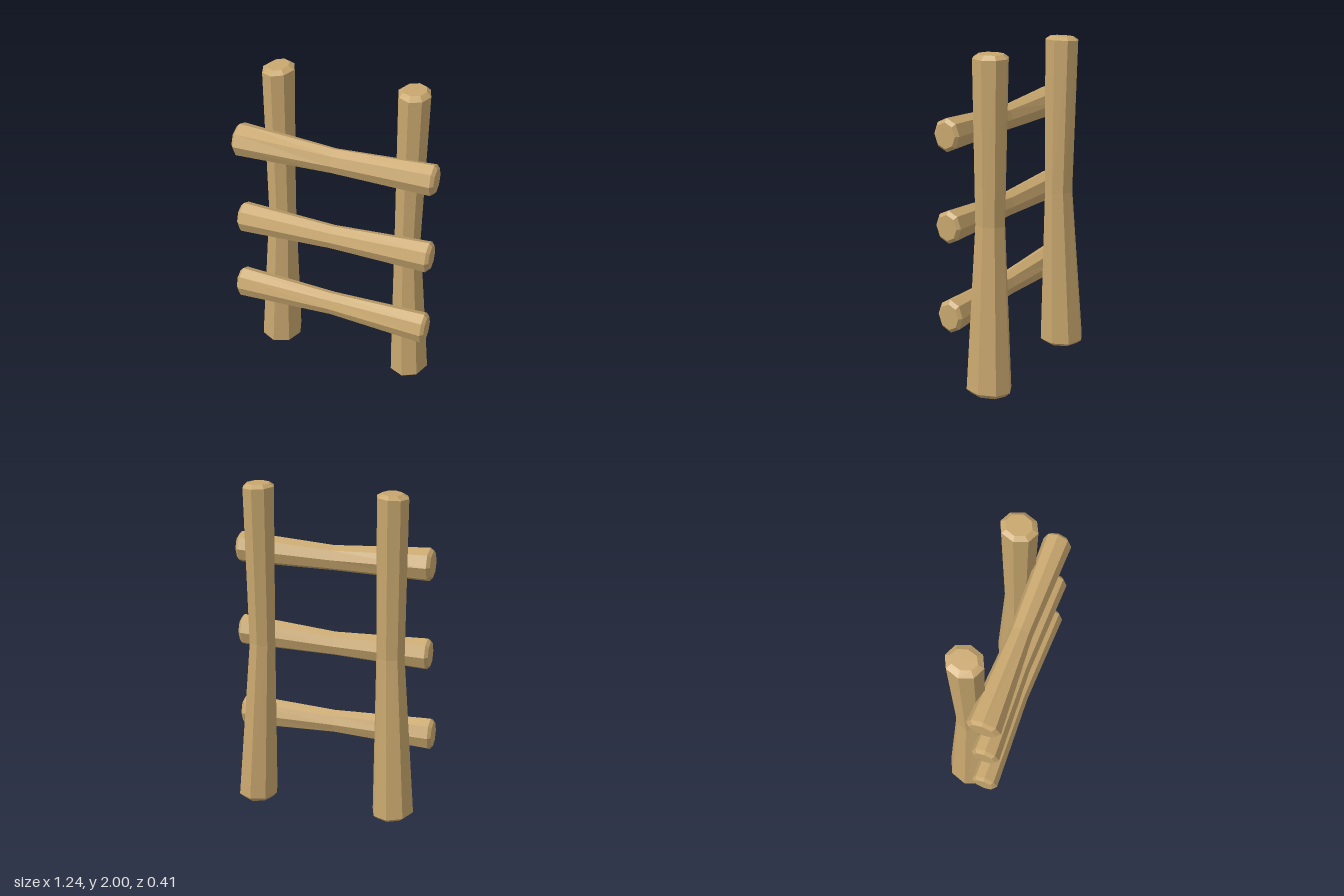
import * as THREE from 'three';

const SIDES = 8;

// Faceted log from cross-sections [t, u, v, ru, rv, tilt]: position along the axis,
// centre, radii, and slope of the cut along u. place(t, u, v) gives the point.
function logGeometry(sections, place) {
  const rings = sections.map(([t, u, v, ru, rv, tilt = 0]) => {
    const ring = [];
    for (let j = 0; j < SIDES; j++) {
      const a = (j / SIDES) * Math.PI * 2;
      const du = Math.cos(a) * ru;
      ring.push(place(t + du * tilt, u + du, v + Math.sin(a) * rv));
    }
    return ring;
  });
  const centres = sections.map(([t, u, v]) => place(t, u, v));
  const last = rings.length - 1;
  const points = [];
  for (let j = 0; j < SIDES; j++) {
    const k = (j + 1) % SIDES;
    for (let i = 0; i < last; i++) {
      const a = rings[i][j], b = rings[i][k], c = rings[i + 1][j], d = rings[i + 1][k];
      points.push(a, c, b, b, c, d);
    }
    points.push(centres[0], rings[0][j], rings[0][k]);
    points.push(centres[last], rings[last][k], rings[last][j]);
  }
  const geometry = new THREE.BufferGeometry().setFromPoints(points);
  geometry.computeVertexNormals();
  return geometry;
}

const upright = (t, u, v) => new THREE.Vector3(u, t, v);
const across = (t, u, v) => new THREE.Vector3(t, v, u);

export function createModel() {
  const group = new THREE.Group();
  const wood = new THREE.MeshStandardMaterial({ color: 0xc8a76e, flatShading: true });
  wood.name = 'wood';

  const add = (name, sections, place) => {
    const mesh = new THREE.Mesh(logGeometry(sections, place), wood);
    mesh.name = name;
    group.add(mesh);
  };

  // Posts: wide foot, narrow waist, bevelled ends
  add('rightPost', [
    [0.013, -0.425, -0.06, 0.1, 0.115, -0.06],
    [0.037, -0.427, -0.06, 0.128, 0.145, -0.06],
    [1.03, -0.391, -0.049, 0.086, 0.09],
    [1.972, -0.392, -0.06, 0.094, 0.108, 0.06],
    [1.993, -0.39, -0.063, 0.058, 0.077, 0.06],
  ], upright);
  add('leftPost', [
    [0.004, 0.455, -0.058, 0.095, 0.113, 0.04],
    [0.033, 0.457, -0.058, 0.122, 0.143, 0.04],
    [1.03, 0.415, -0.049, 0.081, 0.09],
    [1.978, 0.417, -0.06, 0.094, 0.108, -0.03],
    [2.0, 0.417, -0.063, 0.068, 0.077],
  ], upright);

  // Rungs: ring position, height, radii (depth, height) at the ends and the thin middle
  const rungs = [
    { name: 'topRung', a: [-0.573, 0.105, 1.558, 0.1, 0.1], m: [0.01, 0.105, 1.547, 0.066, 0.077], b: [0.6, 0.11, 1.565, 0.083, 0.096] },
    { name: 'middleRung', a: [-0.573, 0.108, 1.01, 0.085, 0.097], m: [0, 0.105, 1.012, 0.066, 0.075], b: [0.597, 0.112, 1.036, 0.083, 0.098] },
    { name: 'bottomRung', a: [-0.605, 0.108, 0.5, 0.083, 0.1], m: [0, 0.105, 0.501, 0.066, 0.074], b: [0.592, 0.113, 0.498, 0.083, 0.101] },
  ];
  const bevel = ([t, u, v, ru, rv], shift) => [t + shift, u, v, ru * 0.78, rv * 0.78];
  for (const { name, a, m, b } of rungs) {
    add(name, [bevel(a, -0.019), a, m, b, bevel(b, 0.019)], across);
  }
  return group;
}
